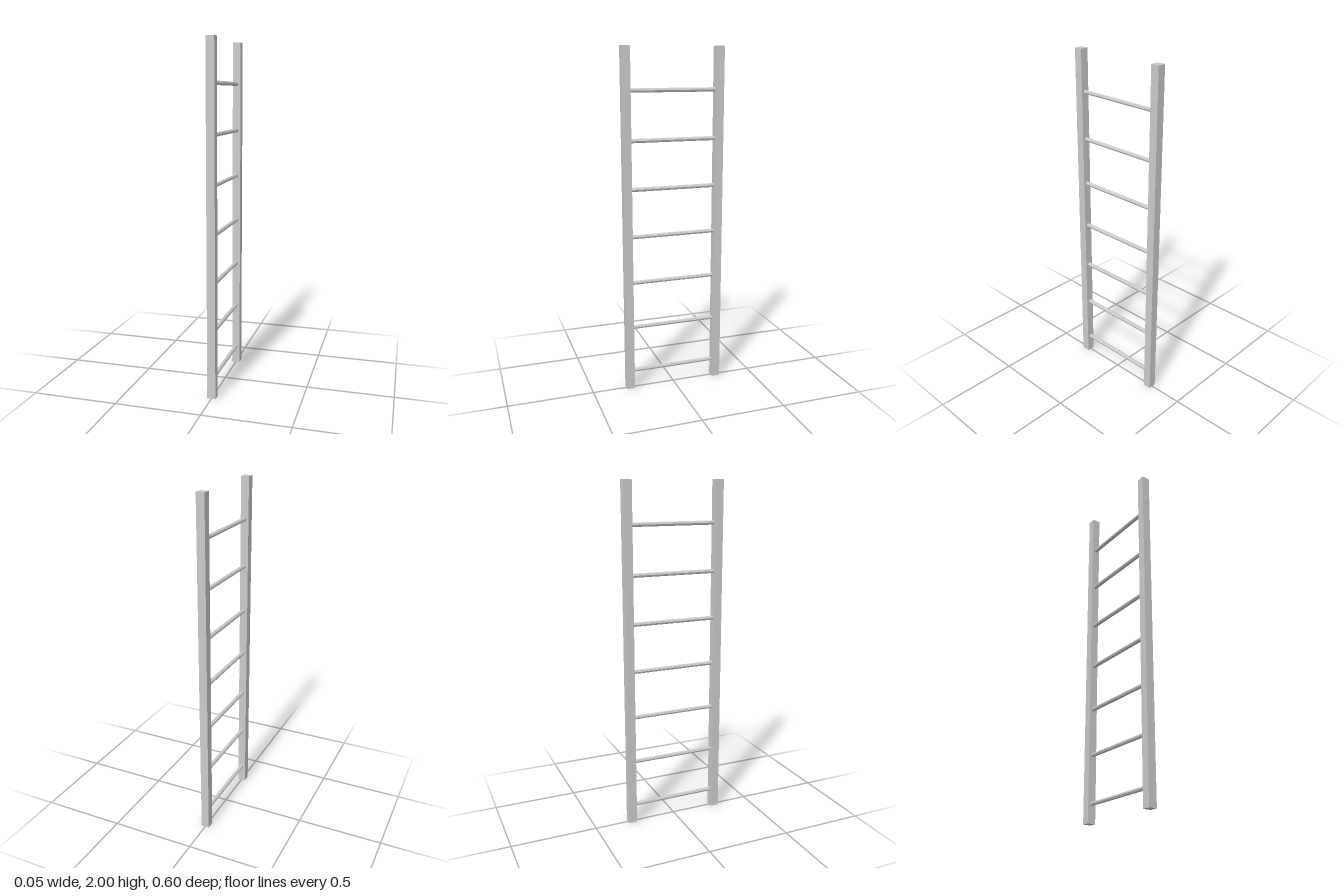
import * as THREE from 'three';

export function createModel() {
  const ladder = new THREE.Group();
  ladder.name = 'ladder';
  const material = new THREE.MeshStandardMaterial({ color: 0xcccccc, flatShading: true });

  const height = 2, railSize = 0.048, railZ = 0.274;
  const rungCount = 7, firstRungY = 0.108, rungStep = 0.2755, rungRadius = 0.012;

  // Two square uprights
  const railGeometry = new THREE.BoxGeometry(railSize, height, railSize);
  for (const side of [1, -1]) {
    const rail = new THREE.Mesh(railGeometry, material);
    rail.name = side > 0 ? 'frontRail' : 'backRail';
    rail.position.set(0, height / 2, side * railZ);
    ladder.add(rail);
  }

  // Evenly spaced faceted rungs between the inner faces of the rails
  const rungLength = 2 * railZ - railSize;
  const rungGeometry = new THREE.CylinderGeometry(rungRadius, rungRadius, rungLength, 8);
  rungGeometry.rotateX(Math.PI / 2);
  for (let i = 0; i < rungCount; i++) {
    const rung = new THREE.Mesh(rungGeometry, material);
    rung.name = `rung${i + 1}`;
    rung.position.y = firstRungY + i * rungStep;
    ladder.add(rung);
  }

  return ladder;
}
